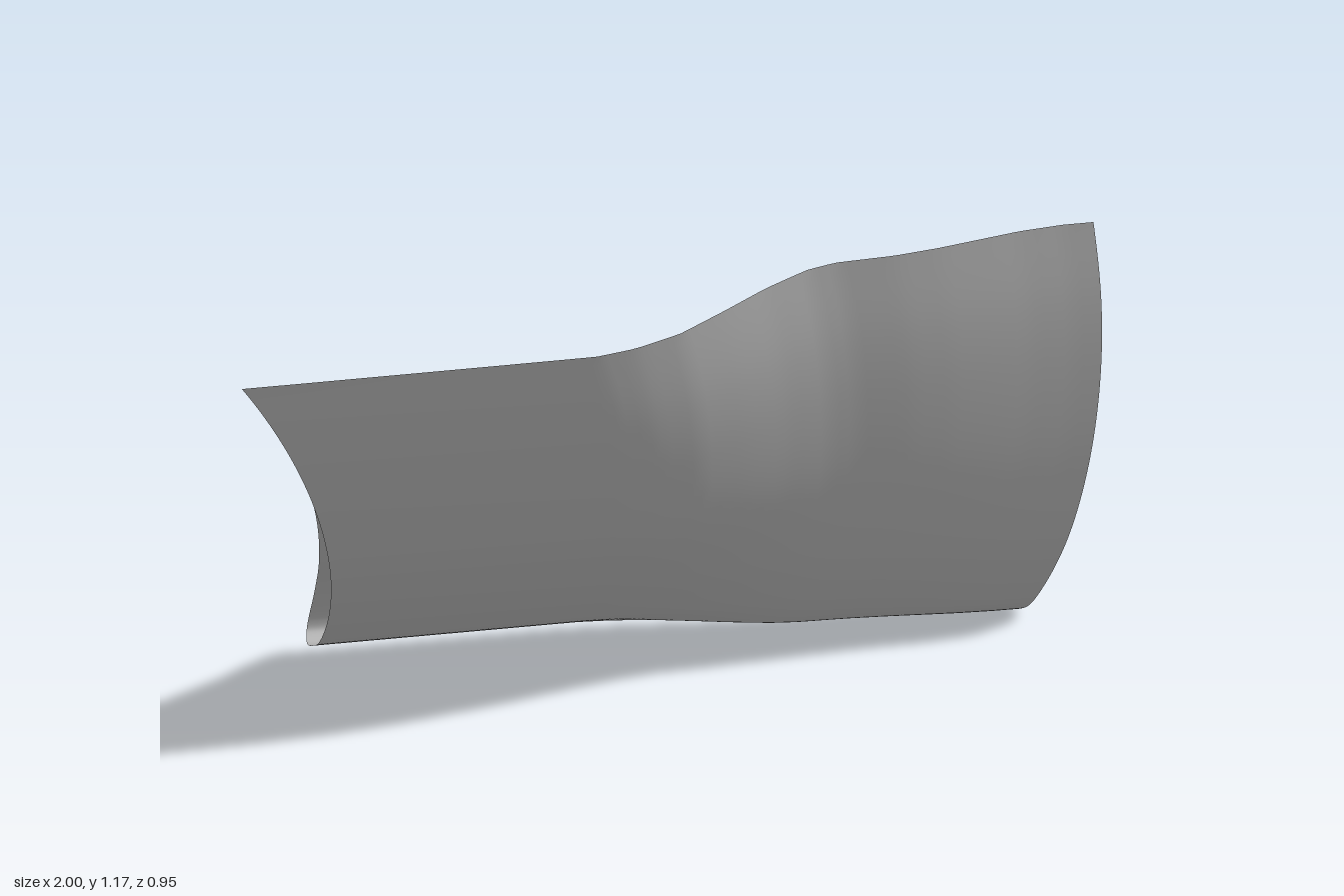
import * as THREE from 'three';

// Aerofoil sections as [z, y], from trailing edge along the underside,
// round the leading edge and back along the upper side.
const ROOT = [
  [0.475, 1.0], [0.375, 0.82], [0.27, 0.66], [0.11, 0.45], [-0.045, 0.295],
  [-0.145, 0.21], [-0.26, 0.127], [-0.353, 0.084], [-0.41, 0.062], [-0.45, 0.055],
  [-0.478, 0.072], [-0.475, 0.1], [-0.45, 0.14], [-0.415, 0.18], [-0.353, 0.245],
  [-0.263, 0.325], [-0.1, 0.48], [0.09, 0.644], [0.29, 0.825], [0.475, 1.0],
];
const TIP = [
  [0.265, 1.17], [0.215, 0.98], [0.158, 0.814], [0.06, 0.58], [-0.043, 0.375],
  [-0.12, 0.25], [-0.22, 0.12], [-0.29, 0.047], [-0.34, 0.017], [-0.385, 0.003],
  [-0.413, 0.02], [-0.42, 0.05], [-0.413, 0.09], [-0.4, 0.127], [-0.353, 0.21],
  [-0.263, 0.33], [-0.1, 0.59], [0.04, 0.812], [0.16, 1.0], [0.265, 1.17],
];

// How far the section has turned from root to tip, as [radius, blend]
const TWIST = [
  [1.3, 0], [1.95, 0], [2.03, 0.05], [2.13, 0.16], [2.24, 0.35], [2.345, 0.54],
  [2.445, 0.69], [2.51, 0.745], [2.64, 0.78], [2.74, 0.83], [2.93, 0.95], [3.03, 0.99], [3.1, 1],
];

// The blade is cut by cylinders about an axis parallel to z
const AXIS_X = -2.1, AXIS_Y = 0.29, R_ROOT = 1.3, R_TIP = 3.1;

function blendAt(r) {
  let k = 0;
  while (k < TWIST.length - 2 && r > TWIST[k + 1][0]) k++;
  const [r0, b0] = TWIST[k], [r1, b1] = TWIST[k + 1];
  return b0 + (b1 - b0) * (r - r0) / (r1 - r0);
}

const sectionCurve = (pts) =>
  new THREE.CatmullRomCurve3(pts.map(([z, y]) => new THREE.Vector3(0, y, z)), false, 'centripetal');

function bladeGeometry(spanSteps, aroundSteps) {
  const root = sectionCurve(ROOT).getPoints(aroundSteps);
  const tip = sectionCurve(TIP).getPoints(aroundSteps);
  const positions = [], index = [];
  const p = new THREE.Vector3();
  for (let i = 0; i <= spanSteps; i++) {
    const r = R_ROOT + (R_TIP - R_ROOT) * i / spanSteps;
    const b = blendAt(r);
    const sag = 0.02 * Math.max(0, (1.95 - r) / 0.65);
    for (let j = 0; j <= aroundSteps; j++) {
      p.lerpVectors(root[j], tip[j], b);
      p.y -= sag * Math.max(0, p.y - 0.1);
      p.x = AXIS_X + Math.sqrt(r * r - (p.y - AXIS_Y) ** 2);
      positions.push(p.x, p.y, p.z);
      if (i < spanSteps && j < aroundSteps) {
        const a = i * (aroundSteps + 1) + j, c = a + aroundSteps + 1;
        index.push(a, a + 1, c, a + 1, c + 1, c);
      }
    }
  }
  const g = new THREE.BufferGeometry();
  g.setAttribute('position', new THREE.Float32BufferAttribute(positions, 3));
  g.setIndex(index);
  g.computeVertexNormals();
  return g;
}

export function createModel() {
  const group = new THREE.Group();
  group.name = 'twistedBlade';
  const metal = new THREE.MeshStandardMaterial({ color: 0xb4b4b4, side: THREE.DoubleSide });
  metal.name = 'plain grey metal';
  // Hollow blade skin, open at both ends
  const skin = new THREE.Mesh(bladeGeometry(80, 152), metal);
  skin.name = 'bladeSkin';
  group.add(skin);
  return group;
}
